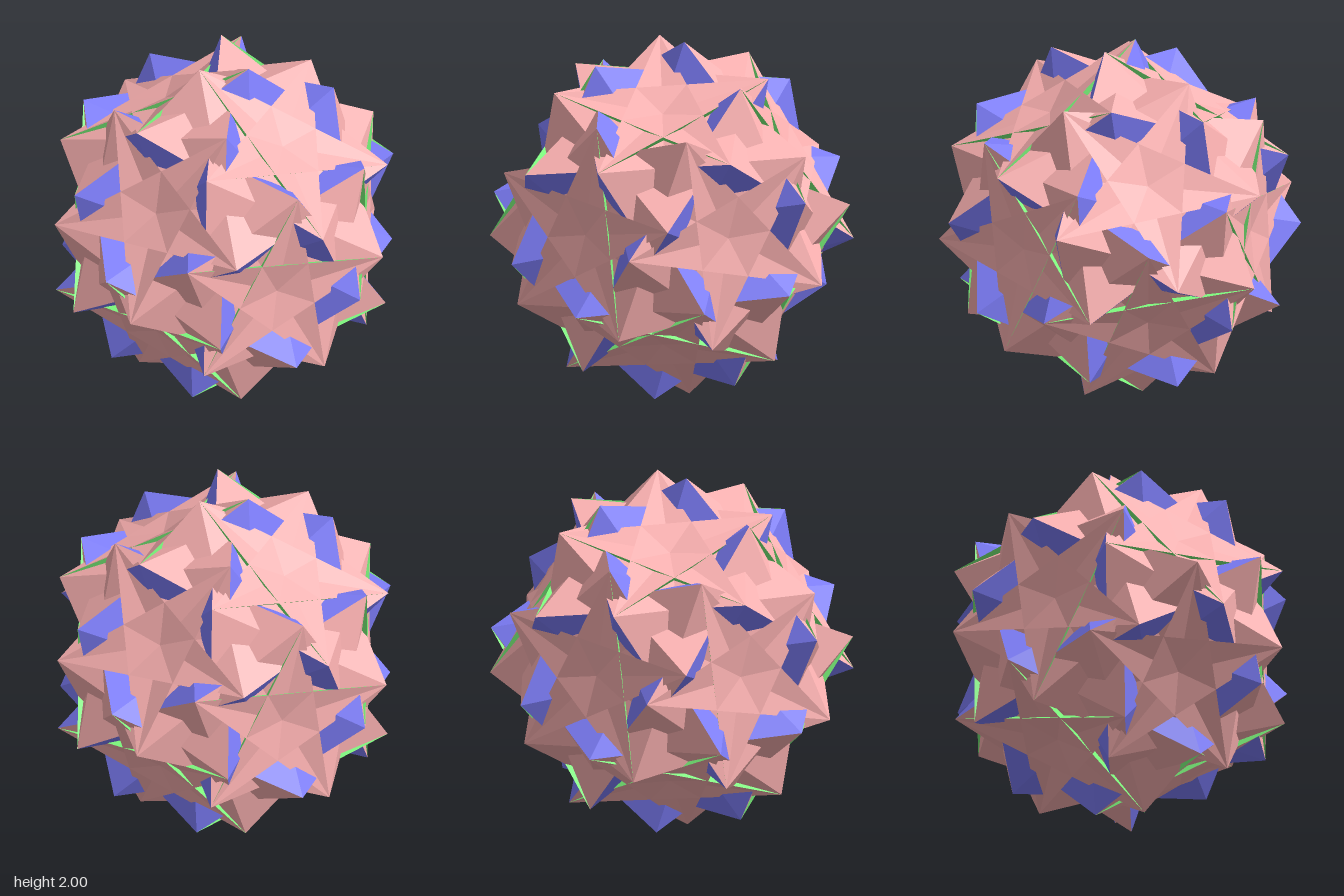
import * as THREE from 'three';

const vec = (x, y, z) => new THREE.Vector3(x, y, z).normalize();
const turn = (axis, deg) => new THREE.Quaternion().setFromAxisAngle(axis, THREE.MathUtils.degToRad(deg));

// One corner of the snub solid and the symmetry axes beside it
const phi = (1 + Math.sqrt(5)) / 2;
const CORNER = vec(0.08173, 0.99091, 0.10688);
const STAR_AXIS = vec(0, phi, -1);
const PENTAGON_AXIS = vec(-1, 0, phi);
const HALF_TURN_AXIS = vec(phi, phi * phi, -1);

// Pentagon and pentagram on one axis share an apex halfway between their planes
const APEX = (CORNER.dot(STAR_AXIS) + CORNER.dot(PENTAGON_AXIS)) / 2;

// The 60 rotations of the icosahedron, grown from three generators
function icosahedralRotations() {
  const generators = [turn(STAR_AXIS, 72), turn(PENTAGON_AXIS, 72), turn(HALF_TURN_AXIS, 180)];
  const all = [new THREE.Quaternion()];
  for (let i = 0; i < all.length && all.length < 60; i++) {
    for (const g of generators) {
      const q = g.clone().multiply(all[i]).normalize();
      if (!all.some((p) => Math.abs(p.dot(q)) > 0.999)) all.push(q);
    }
  }
  return all;
}

// Five triangles from the apex on an axis to the corners reached by repeated turns
function fan(axis, deg) {
  const apex = axis.clone().multiplyScalar(APEX);
  const corner = (i) => CORNER.clone().applyQuaternion(turn(axis, deg * i));
  return Array.from({ length: 5 }, (_, i) => [apex, corner(i), corner(i + 1)]).flat();
}

// Copies a face to every distinct place; repeats share the same middle
function faceSet(name, face, rotations, color) {
  const positions = [];
  const seen = new Set();
  const size = 1 / CORNER.y;
  for (const q of rotations) {
    const points = face.map((p) => p.clone().applyQuaternion(q).multiplyScalar(size));
    const sum = points.reduce((s, p) => s.add(p), new THREE.Vector3());
    const key = sum.toArray().map((n) => Math.round(n * 100) + 0).join();
    if (seen.has(key)) continue;
    seen.add(key);
    points.forEach((p) => positions.push(p.x, p.y + 1, p.z));
  }
  const geometry = new THREE.BufferGeometry();
  geometry.setAttribute('position', new THREE.Float32BufferAttribute(positions, 3));
  geometry.computeVertexNormals();
  const mesh = new THREE.Mesh(geometry, new THREE.MeshStandardMaterial({ color, side: THREE.DoubleSide }));
  mesh.name = name;
  return mesh;
}

export function createModel() {
  const group = new THREE.Group();
  group.name = 'snubStarPolyhedron';
  const rotations = icosahedralRotations();

  // Triangle seed: the corner, its half-turn partner and the next star tip
  const triangle = [
    CORNER.clone(),
    CORNER.clone().applyQuaternion(turn(HALF_TURN_AXIS, 180)),
    CORNER.clone().applyQuaternion(turn(STAR_AXIS, -144)),
  ];
  group.add(faceSet('triangles', triangle, rotations, 0xffb4b4));

  // Raised pentagons, seen as the blue ridged spikes
  group.add(faceSet('pentagons', fan(PENTAGON_AXIS, 72), rotations, 0x8080ff));

  // Sunken pentagrams, seen as green walls under the star edges
  group.add(faceSet('pentagrams', fan(STAR_AXIS, -144), rotations, 0x80ff80));
  return group;
}
